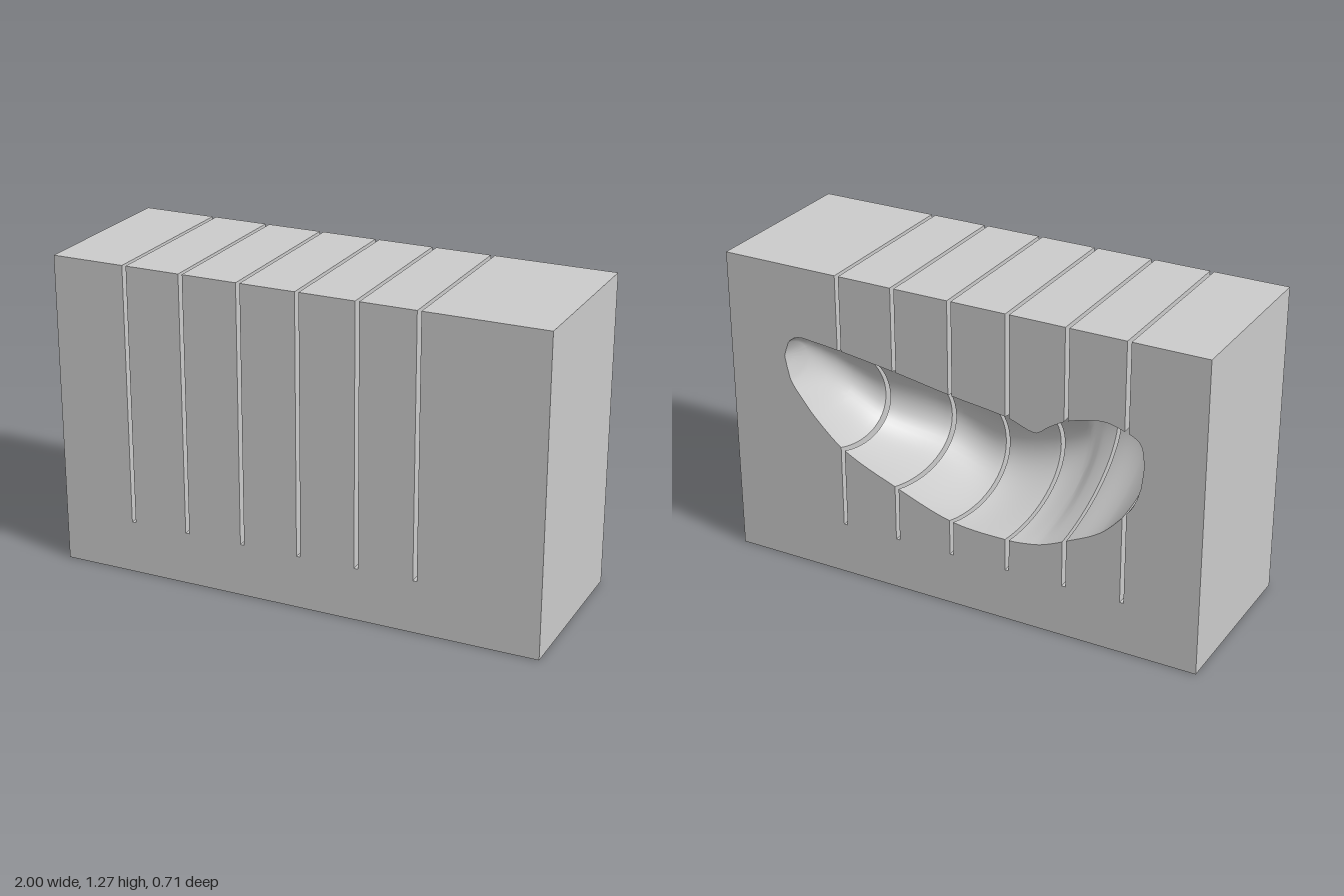
import * as THREE from 'three';
import { toCreasedNormals } from 'three/addons/utils/BufferGeometryUtils.js';

const TOP = 1.27, ZF = 0.355, FLOOR = 0.215, SLOT = 0.016, SEG = 28;

// Hollow in the back face: [x, rim top, rim bottom, depth, downward lean]
const KEYS = [
  [-0.765, 0.80, 0.80, 0, 0], [-0.755, 0.87, 0.71, 0.12, 0], [-0.73, 0.90, 0.635, 0.24, 0],
  [-0.693, 0.917, 0.58, 0.32, -0.02], [-0.6, 0.938, 0.485, 0.41, -0.05],
  [-0.458, 0.905, 0.41, 0.455, -0.06], [-0.38, 0.86, 0.375, 0.46, -0.04],
  [-0.33, 0.826, 0.36, 0.46, 0], [-0.217, 0.86, 0.347, 0.455, 0.06],
  [0.023, 0.893, 0.36, 0.45, 0.13], [0.258, 0.932, 0.44, 0.445, 0.13],
  [0.498, 0.965, 0.545, 0.34, 0.12], [0.625, 0.978, 0.655, 0.27, 0.09],
  [0.692, 0.98, 0.735, 0.2, 0.06], [0.735, 0.95, 0.80, 0.12, 0.02], [0.755, 0.89, 0.89, 0, 0],
];

// Smooth interpolation of the hollow's measures at x
function hollowAt(x) {
  const n = KEYS.length - 1;
  if (x <= KEYS[0][0]) return KEYS[0];
  if (x >= KEYS[n][0]) return KEYS[n];
  let i = 0;
  while (KEYS[i + 1][0] < x) i++;
  const p = KEYS[i], q = KEYS[i + 1], w = q[0] - p[0], t = (x - p[0]) / w;
  const slope = (j, k) => {
    const a = KEYS[Math.max(j - 1, 0)], b = KEYS[Math.min(j + 1, n)];
    return (b[k] - a[k]) / (b[0] - a[0]);
  };
  return p.map((v, k) => k === 0 ? x :
    v * (1 + 2 * t) * (1 - t) ** 2 + q[k] * t * t * (3 - 2 * t) +
    w * (slope(i, k) * t * (1 - t) ** 2 - slope(i + 1, k) * t * t * (1 - t)));
}

// Cross-section loop (z, y): a rectangle with the hollow bitten out of the back
function section(x, bottom) {
  const [, hi, lo, depth, lean] = hollowAt(x);
  const loop = [[ZF, bottom], [ZF, TOP], [-ZF, TOP]];
  for (let i = 0; i <= SEG; i++) {
    const a = Math.PI * i / SEG, s = Math.sin(a);
    loop.push([-ZF + depth * s, (hi + lo) / 2 + (hi - lo) / 2 * Math.cos(a) - lean * s]);
  }
  loop.push([-ZF, bottom]);
  return loop.map(([z, y]) => new THREE.Vector2(z, y));
}

const rectangle = (bottom, top) =>
  [[ZF, bottom], [ZF, top], [-ZF, top], [-ZF, bottom]].map(([z, y]) => new THREE.Vector2(z, y));

// Skin between loops placed at successive x
function loft(out, xs, loops) {
  const put = (k, i) => out.push(xs[k], loops[k][i].y, loops[k][i].x);
  for (let k = 0; k < xs.length - 1; k++) {
    const n = loops[k].length;
    for (let i = 0; i < n; i++) {
      const j = (i + 1) % n;
      put(k, i); put(k + 1, i); put(k + 1, j);
      put(k, i); put(k + 1, j); put(k, j);
    }
  }
}

// Flat end face at x
function cap(out, x, loop, facesRight) {
  for (const tri of THREE.ShapeUtils.triangulateShape(loop.slice(), [])) {
    if (facesRight) tri.reverse();
    for (const i of tri) out.push(x, loop[i].y, loop[i].x);
  }
}

function makeMesh(name, positions) {
  const g = new THREE.BufferGeometry();
  g.setAttribute('position', new THREE.Float32BufferAttribute(positions, 3));
  const mesh = new THREE.Mesh(toCreasedNormals(g, 0.6),
    new THREE.MeshStandardMaterial({ color: 0xcccccc }));
  mesh.name = name;
  return mesh;
}

export function createModel() {
  const group = new THREE.Group();
  group.name = 'slottedMouldBlock';
  const slots = Array.from({ length: 6 }, (_, i) => -0.693 + 0.2396 * i);

  // Upright slabs between the slots
  for (let i = 0; i <= slots.length; i++) {
    const a = i === 0 ? -1 : slots[i - 1] + SLOT / 2;
    const b = i === slots.length ? 1 : slots[i] - SLOT / 2;
    const n = Math.ceil((b - a) / 0.02);
    const xs = Array.from({ length: n + 1 }, (_, k) => a + (b - a) * k / n);
    for (const [x] of KEYS) if (x > a && x < b && !xs.some(v => Math.abs(v - x) < 1e-5)) xs.push(x);
    xs.sort((p, q) => p - q);
    const out = [];
    loft(out, xs, xs.map(x => section(x, 0)));
    cap(out, a, i === 0 ? rectangle(0, TOP) : section(a, FLOOR), false);
    cap(out, b, i === slots.length ? rectangle(0, TOP) : section(b, FLOOR), true);
    group.add(makeMesh('slab' + (i + 1), out));
  }

  // Low bridges that join the slabs below each slot
  slots.forEach((x, i) => {
    const out = [];
    loft(out, [x - SLOT / 2, x + SLOT / 2], [rectangle(0, FLOOR), rectangle(0, FLOOR)]);
    group.add(makeMesh('slotFloor' + (i + 1), out));
  });
  return group;
}
